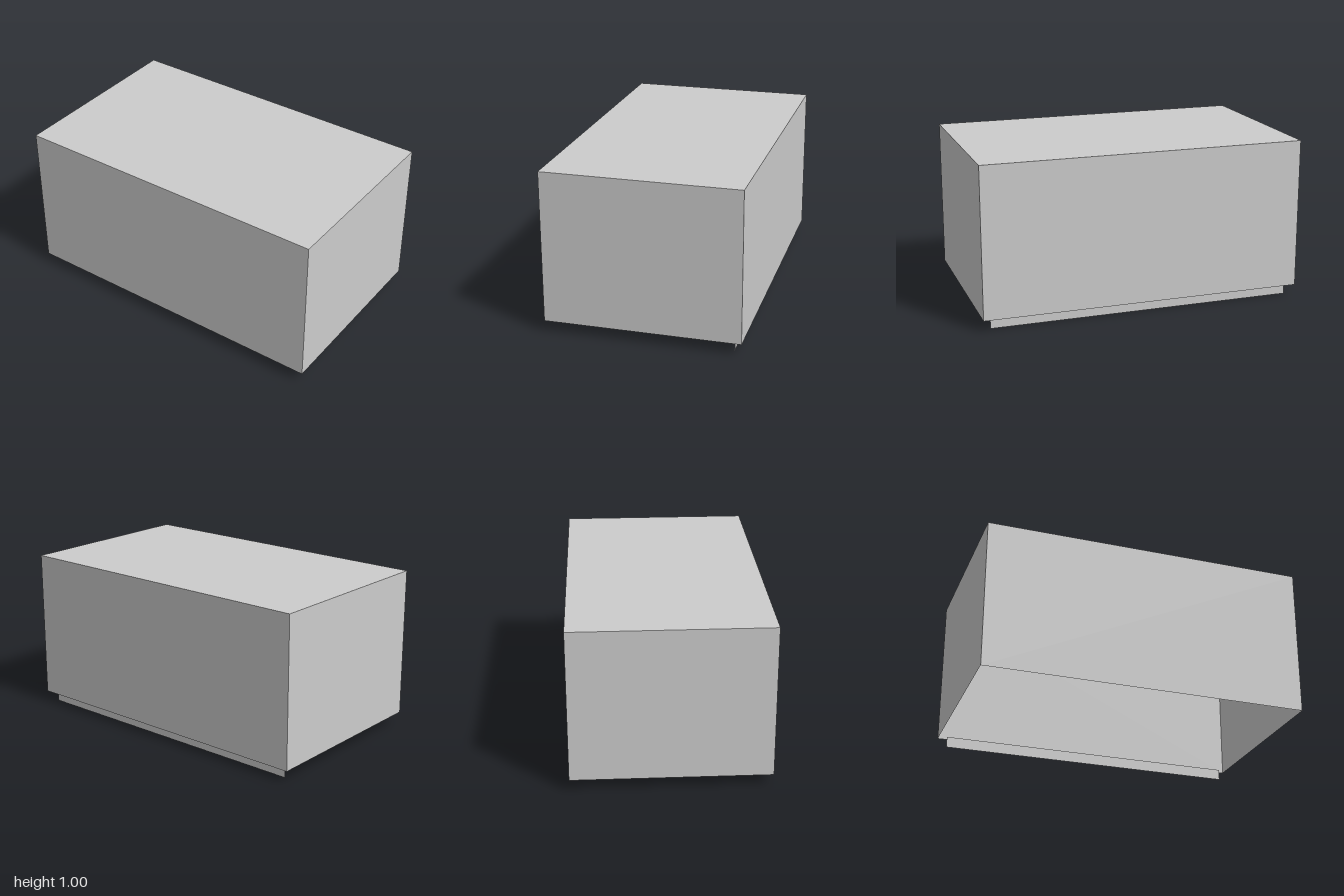
import * as THREE from 'three';

const W = 2, D = 1.19, TOP = 1, BASE = 0.07;

export function createModel() {
  const model = new THREE.Group();
  model.name = 'cabinet';
  const material = new THREE.MeshStandardMaterial({ color: 0xcccccc, side: THREE.DoubleSide });

  // Thin flat panel, turned to face outwards
  const panel = (name, w, h, position, rx = 0, ry = 0) => {
    const mesh = new THREE.Mesh(new THREE.PlaneGeometry(w, h), material);
    mesh.name = name;
    mesh.position.set(...position);
    mesh.rotation.set(rx, ry, 0);
    model.add(mesh);
  };

  // Shell, open at the bottom
  const h = TOP - BASE, y = (TOP + BASE) / 2;
  panel('frontPanel', W, h, [0, y, D / 2]);
  panel('backPanel', W, h, [0, y, -D / 2], 0, Math.PI);
  panel('leftPanel', D, h, [W / 2, y, 0], 0, Math.PI / 2);
  panel('rightPanel', D, h, [-W / 2, y, 0], 0, -Math.PI / 2);
  panel('topPanel', W, D, [0, TOP, 0], -Math.PI / 2);

  // Recessed kick board under the back edge
  panel('kickBoard', 1.9, BASE, [0, BASE / 2, -D / 2 + 0.05], 0, Math.PI);

  return model;
}
